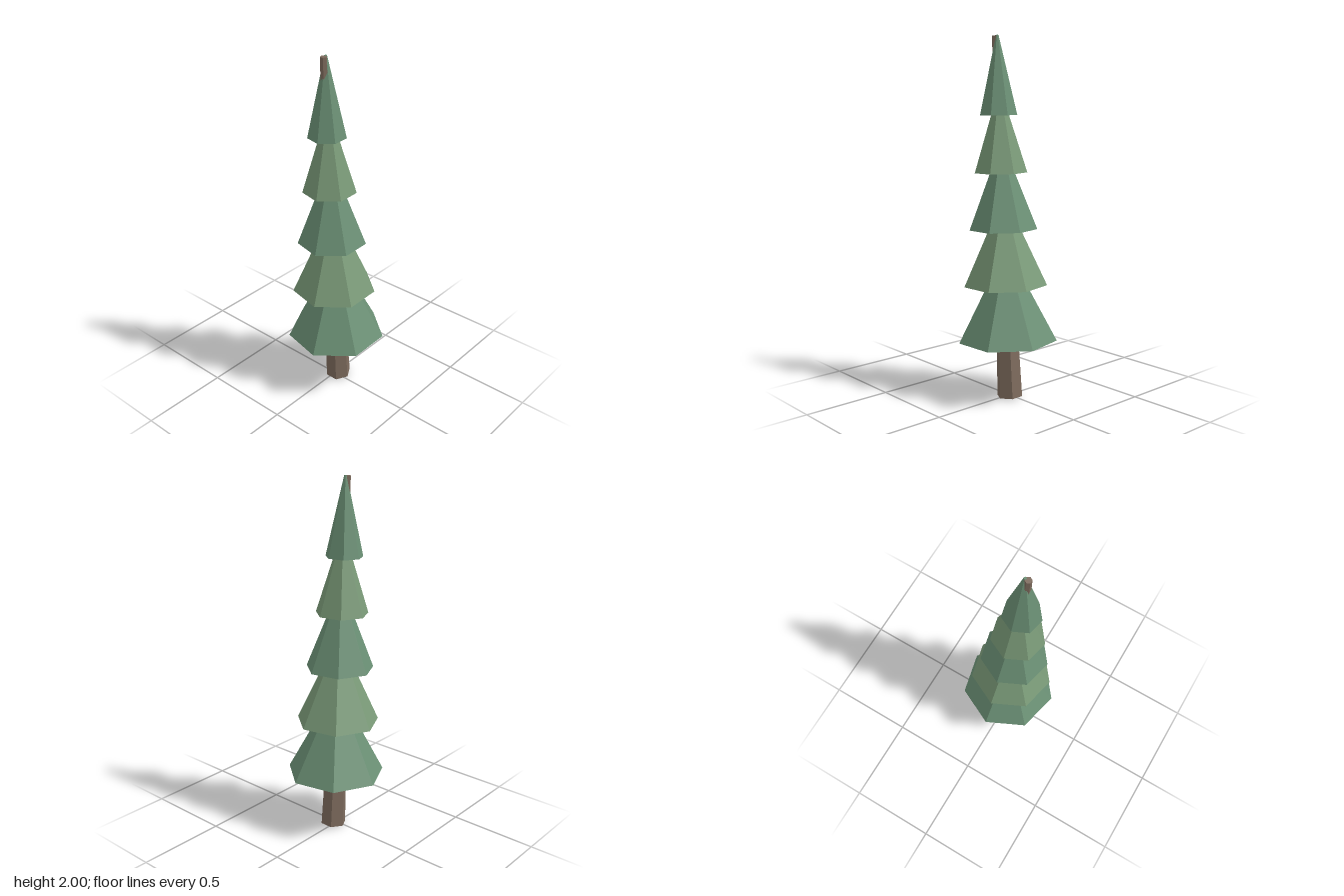
import * as THREE from 'three';

export function createModel() {
  const tree = new THREE.Group();
  tree.name = 'pineTree';

  const material = (color, side = THREE.FrontSide) =>
    new THREE.MeshStandardMaterial({ color, side, flatShading: true });
  const greens = [0x6b9075, 0x7a9a78].map((c) => material(c, THREE.DoubleSide));

  // The trunk leans towards -x; everything is placed along its centre line
  const lean = 0.0585;
  const centreZ = 0.0125;
  const trunkX = (y) => 0.0175 - lean * y;

  // Tapered six-sided trunk
  const trunk = new THREE.Mesh(
    new THREE.CylinderGeometry(0.018, 0.073, 1.995, 6),
    material(0x7d6b5d)
  );
  trunk.name = 'trunk';
  trunk.position.set(trunkX(1), 1.001, centreZ);
  trunk.rotation.z = lean;
  tree.add(trunk);

  // Hollow seven-sided skirts of foliage, shrinking upwards
  for (let i = 0; i < 5; i++) {
    const radius = 0.277 - 0.0433 * i;
    const height = 0.51 - 0.0205 * i;
    const baseY = 0.33 + 0.3105 * i;
    const profile = [
      new THREE.Vector2(radius, 0),
      new THREE.Vector2(0.007, height),
      new THREE.Vector2(0, height),
    ];
    const tier = new THREE.Mesh(
      new THREE.LatheGeometry(profile, 7, Math.PI),
      greens[i % 2]
    );
    tier.name = `foliageTier${i + 1}`;
    tier.position.set(trunkX(baseY), baseY, centreZ);
    tier.rotation.z = 0.02;
    tree.add(tier);
  }

  return tree;
}
